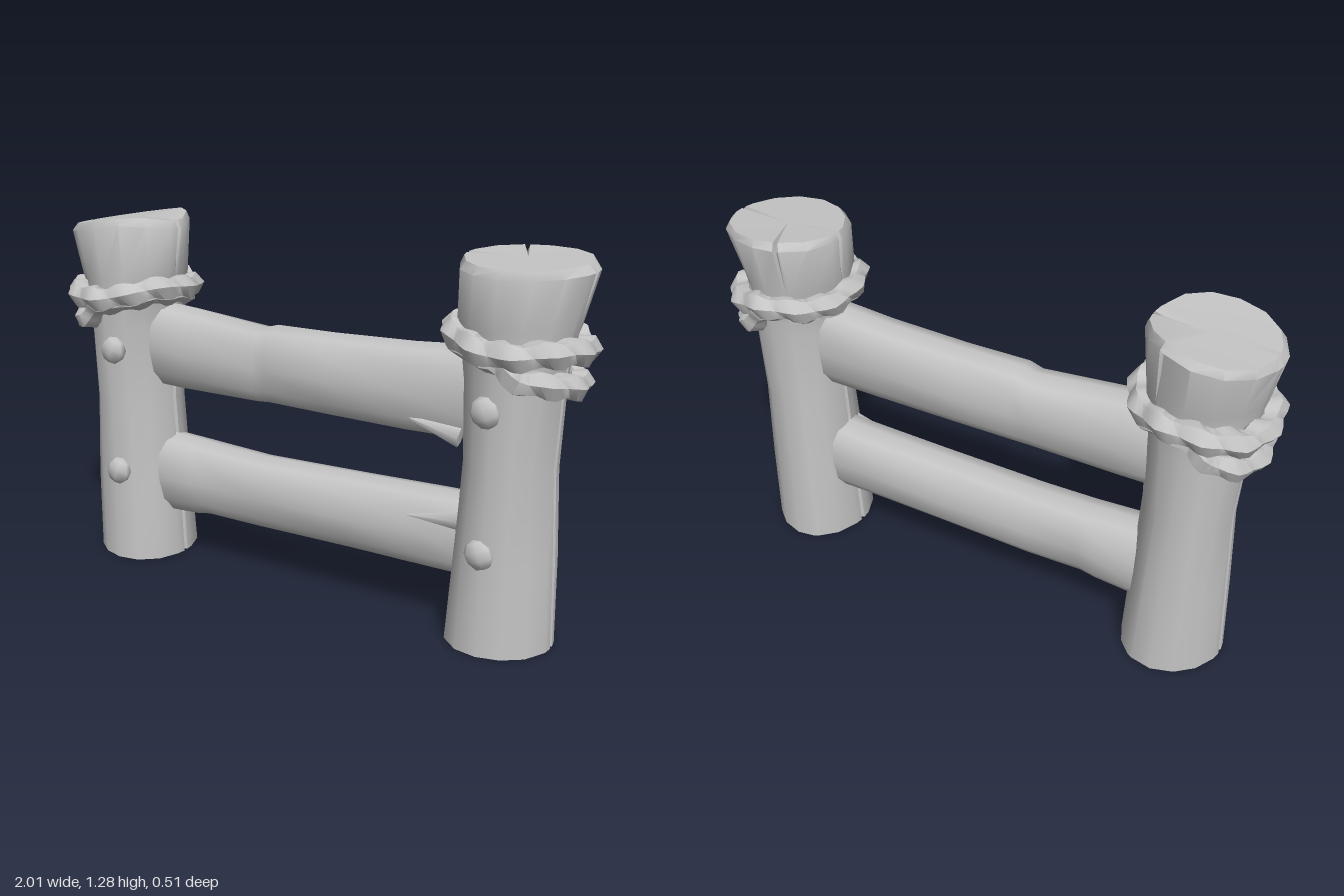
import * as THREE from 'three';
import { toCreasedNormals } from 'three/addons/utils/BufferGeometryUtils.js';

// Joins equal-length rings of points into a closed, capped solid
function loft(rings, crease = 0.75) {
  const n = rings[0].length, last = rings.length - 1;
  const centre = r => r.reduce((s, p) => s.add(p), new THREE.Vector3()).divideScalar(n);
  const points = [...rings.flat(), centre(rings[0]), centre(rings[last])];
  const index = [];
  for (let j = 0; j < n; j++) {
    const k = (j + 1) % n;
    for (let i = 0; i < last; i++) {
      const a = i * n + j, b = i * n + k;
      index.push(a, a + n, b, b, a + n, b + n);
    }
    index.push(points.length - 2, j, k, points.length - 1, last * n + k, last * n + j);
  }
  const geometry = new THREE.BufferGeometry().setFromPoints(points);
  geometry.setIndex(index);
  return toCreasedNormals(geometry, crease);
}

// Post: heights, centre (distance from middle, z), half widths, crack depth
const POST_ROWS = [
  [0, 0.735, 0, 0.178, 0.188, 0.14],
  [0.3, 0.74, 0, 0.165, 0.182, 0.1],
  [0.6, 0.745, 0, 0.15, 0.172, 0.06],
  [0.88, 0.75, 0, 0.16, 0.18, 0.1],
  [1.0, 0.75, 0, 0.172, 0.183, 0.04],
  [1.06, 0.75, 0, 0.188, 0.19, 0.02],
  [1.225, 0.765, -0.01, 0.212, 0.21, 0.06],
  [1.25, 0.765, -0.01, 0.195, 0.195, 0.16],
];

function postGeometry(side) {
  const cracks = side > 0 ? [0, Math.PI, 4.3] : [0, Math.PI, 5.2];
  const angles = [];
  for (let i = 0; i < 14; i++) angles.push({ a: (i + 0.5) / 14 * Math.PI * 2, deep: 0 });
  cracks.forEach((c, i) => {
    // the third crack only splits the head
    for (const [d, deep] of [[-0.05, 0], [0, 1], [0.05, 0]]) {
      angles.push({ a: (c + d + Math.PI * 2) % (Math.PI * 2), deep, headOnly: i === 2 });
    }
  });
  angles.sort((p, q) => p.a - q.a);
  return loft(POST_ROWS.map(([y, cu, cz, ru, rz, crack], row) => angles.map(({ a, deep, headOnly }) => {
    const head = row >= 6;
    const wobble = 1 + 0.025 * Math.sin(3 * a + row * 1.3 + side);
    const cut = deep && (!headOnly || head) ? 1 - crack : 1;
    const x = Math.cos(a) * ru * wobble * cut, z = Math.sin(a) * rz * wobble * cut;
    let lift = 0;
    if (head) {
      // one head is sawn off at a slant, the other rises to the back
      lift = side < 0 ? 0.015 + 0.16 * x - 0.5 * Math.max(0, x - 0.13) : -0.05 * z;
      lift -= deep * 0.015;
    }
    return new THREE.Vector3(side * cu + x, y + lift, cz + z);
  })));
}

// Rail: position along x, bottom, top
const RAILS = {
  upperRail: [[-0.7, 0.655, 0.97], [-0.5, 0.65, 0.955], [-0.18, 0.655, 0.922],
    [-0.13, 0.657, 0.936], [0.1, 0.652, 0.938], [0.4, 0.65, 0.948], [0.7, 0.655, 0.97]],
  lowerRail: [[-0.7, 0.16, 0.475], [-0.46, 0.175, 0.462], [-0.4, 0.188, 0.456],
    [-0.2, 0.186, 0.448], [0.2, 0.19, 0.458], [0.5, 0.192, 0.466], [0.7, 0.192, 0.472]],
};

function railGeometry(rows) {
  const soft = v => Math.sign(v) * Math.abs(v) ** 0.8;
  return loft(rows.map(([x, bottom, top], row) => Array.from({ length: 12 }, (_, j) => {
    const a = j / 12 * Math.PI * 2;
    const z = soft(Math.cos(a)) * (0.1 + 0.005 * Math.sin(row * 2 + j));
    return new THREE.Vector3(x, (top + bottom) / 2 + soft(Math.sin(a)) * (top - bottom) / 2, z - 0.004);
  })), 0.9);
}

// Rope loop around a post; sag lowers its outer side
function ropeGeometry(side, y, radius, sag, thickness) {
  const points = [];
  for (let i = 0; i < 16; i++) {
    const a = i / 16 * Math.PI * 2, c = Math.cos(a), out = Math.max(0, c);
    points.push(new THREE.Vector3(
      side * (0.755 + c * radius),
      y + 0.01 * Math.sin(3 * a) - 0.018 * c - sag * Math.sqrt(out),
      Math.sin(a) * (radius + 0.004)));
  }
  const path = new THREE.CatmullRomCurve3(points, true);
  const segments = 44, sides = 6;
  const geometry = new THREE.TubeGeometry(path, segments, thickness, sides, true);
  const pos = geometry.attributes.position, p = new THREE.Vector3();
  // lumpy twist along the strand
  for (let i = 0; i <= segments; i++) {
    const c = path.getPointAt((i % segments) / segments);
    for (let j = 0; j <= sides; j++) {
      const k = i * (sides + 1) + j;
      const twist = 1 + 0.2 * Math.sin((i % segments) / segments * Math.PI * 22 + (j % sides) / sides * Math.PI * 2);
      p.fromBufferAttribute(pos, k).sub(c).multiplyScalar(twist).add(c);
      pos.setXYZ(k, p.x, p.y, p.z);
    }
  }
  geometry.deleteAttribute('uv');
  return toCreasedNormals(geometry, 0.9);
}

export function createModel() {
  const group = new THREE.Group();
  const grey = new THREE.MeshStandardMaterial({ color: 0xc4c4c4 });
  grey.name = 'plain grey';
  const add = (name, geometry) => {
    const mesh = new THREE.Mesh(geometry, grey);
    mesh.name = name;
    group.add(mesh);
    return mesh;
  };

  for (const side of [-1, 1]) {
    const label = side > 0 ? 'left' : 'right';
    add(label + 'Post', postGeometry(side));
    add(label + 'UpperRope', ropeGeometry(side, 1.005, 0.199, 0, 0.043));
    add(label + 'LowerRope', ropeGeometry(side, 0.985, 0.185, 0.09, 0.041));

    // Pegs on the front
    for (const y of [0.345, 0.805]) {
      const peg = add(label + 'Peg', new THREE.SphereGeometry(0.052, 7, 5));
      peg.position.set(side * 0.727, y, 0.172);
      peg.scale.z = 0.68;
      peg.rotation.z = side * 0.4;
    }
  }

  for (const [name, rows] of Object.entries(RAILS)) add(name, railGeometry(rows));

  // Splinters standing off the rails beside one post
  for (const [x, y, tilt] of [[0.5, 0.705, -0.2], [0.52, 0.395, 0.1]]) {
    const splinter = add('splinter', new THREE.ConeGeometry(0.035, 0.22, 5));
    splinter.position.set(x, y, 0.085);
    splinter.rotation.z = Math.PI / 2 + tilt;
    splinter.scale.z = 0.6;
  }
  return group;
}
